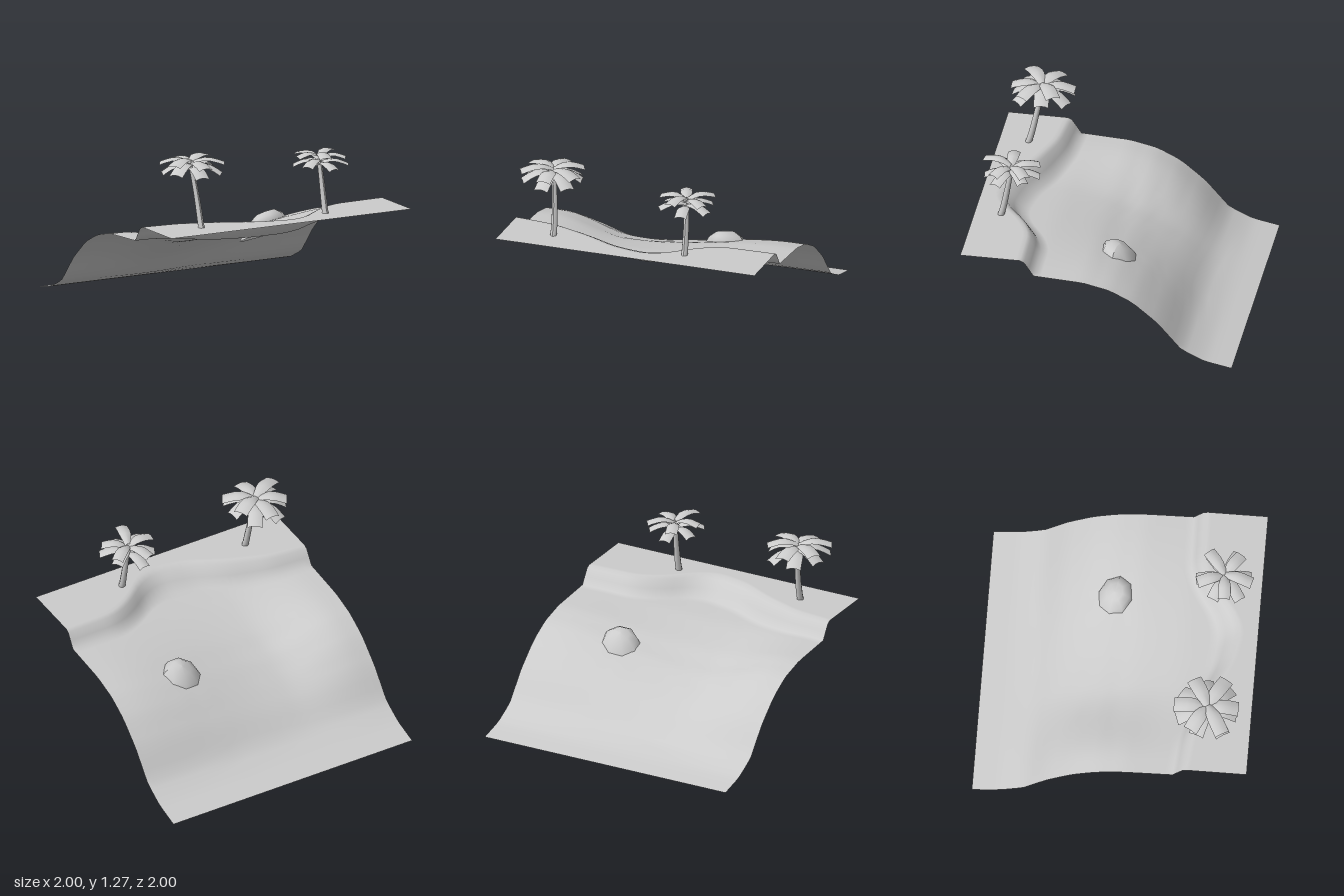
import * as THREE from 'three';

const mat = new THREE.MeshStandardMaterial({ color: 0xcccccc, side: THREE.DoubleSide });

// piecewise linear lookup through [position, value] pairs
function along(pairs, t) {
  let i = 1;
  while (i < pairs.length - 1 && pairs[i][0] < t) i++;
  const [a, va] = pairs[i - 1], [b, vb] = pairs[i];
  return va + (vb - va) * THREE.MathUtils.clamp((t - a) / (b - a), 0, 1);
}

// sheet of nu by nv quads, point(u, v) returns [x, y, z]
function sheet(name, nu, nv, point) {
  const pos = [], idx = [];
  for (let j = 0; j <= nv; j++) for (let i = 0; i <= nu; i++) pos.push(...point(i / nu, j / nv));
  for (let j = 0; j < nv; j++) for (let i = 0; i < nu; i++) {
    const a = j * (nu + 1) + i, c = a + nu + 1;
    idx.push(a, a + 1, c, a + 1, c + 1, c);
  }
  const geo = new THREE.BufferGeometry();
  geo.setAttribute('position', new THREE.Float32BufferAttribute(pos, 3));
  geo.setIndex(idx);
  geo.computeVertexNormals();
  const mesh = new THREE.Mesh(geo, mat);
  mesh.name = name;
  return mesh;
}

// ground: winding ledge line, ridge height along z, depth of the central hollow
const ledge = [[-1, 0.56], [-0.7, 0.59], [-0.4, 0.7], [-0.15, 0.83], [0.1, 0.88], [0.25, 0.82], [0.42, 0.66], [0.6, 0.57], [1, 0.56]];
const ridge = [[-1, 0], [-0.8, 0.04], [-0.63, 0.12], [-0.45, 0.33], [-0.27, 0.48], [-0.1, 0.565], [0.1, 0.61], [0.46, 0.63], [0.75, 0.635]];
const hollow = [[-0.8, 0], [-0.63, 0.02], [-0.45, 0.08], [-0.25, 0.13], [0, 0.13], [0.2, 0.09], [0.45, 0.05], [0.7, 0.03]];
const smooth = THREE.MathUtils.smoothstep;
const middle = x => smooth(x, -0.9, -0.3) * (1 - smooth(x, -0.3, 0.9));
const ledgeZ = x => (along(ledge, x - 0.06) + along(ledge, x) + along(ledge, x + 0.06)) / 3;
const footZ = x => 0.46 + (ledgeZ(x) - 0.56) * 0.8;
const slopeY = (x, z) => along(ridge, z) - along(hollow, z) * middle(x);

// flat terrace, rounded bank, then a long slope running down to the back
function terrain() {
  const bank = [[0, 0], [0.3, 0.12], [0.65, 0.55], [1, 1]], rows = 32;
  return sheet('terrain', 40, rows, (u, v) => {
    const x = u * 2 - 1, top = ledgeZ(x), foot = footZ(x), row = Math.round(v * rows);
    if (row < 2) return [x, 0.75, row ? top + 0.03 : 1];
    if (row < 6) {
      const [s, d] = bank[row - 2];
      return [x, 0.75 + (slopeY(x, foot) - 0.75) * d, top + (foot - top) * s];
    }
    const z = foot + (-1 - foot) * (row - 5) / (rows - 5);
    return [x, slopeY(x, z), z];
  });
}

// open, eight-sided boulder shell sunk through the slope, rim tilted with it
function boulder() {
  const rings = [[0, 0.595], [0.07, 0.585], [0.125, 0.545], [0.16, 0.49], [0.21, 0.425]];
  return sheet('boulder', 8, 4, (u, v) => {
    const [r, y] = rings[Math.round(v * 4)], a = u * Math.PI * 2 + 0.25;
    const dx = Math.cos(a) * r, dz = Math.sin(a) * Math.min(r * 0.9, 0.135);
    return [0.39 + dx, y + dz * 0.45 + dx * 0.15, -0.07 + dz];
  });
}

// broad drooping frond, arched across its width
function frond(angle, length, width, rise, droop) {
  const leaf = sheet('frond', 4, 5, (u, v) => {
    const w = width * (0.5 + 0.5 * Math.min(1, v * 2.2)), s = u * 2 - 1;
    return [s * w / 2, rise * Math.sin(Math.min(1, v * 1.6) * Math.PI / 2) - droop * v * v - 0.014 * s * s, -length * v];
  });
  leaf.rotation.y = angle;
  return leaf;
}

// bent trunk carrying tiers of fronds
function palm(name, base, top, tiers) {
  const g = new THREE.Group();
  g.name = name;
  const h = top[1] - base[1];
  const geo = new THREE.CylinderGeometry(0.018, 0.025, h, 8, 8, true).translate(0, h / 2, 0);
  const p = geo.attributes.position;
  for (let i = 0; i < p.count; i++) {
    const t = THREE.MathUtils.clamp(p.getY(i) / h, 0, 1), bend = Math.pow(t, 0.8);
    p.setXYZ(i, p.getX(i) + base[0] + (top[0] - base[0]) * t * t, base[1] + t * h,
      p.getZ(i) + base[2] + (top[2] - base[2]) * bend);
  }
  geo.computeVertexNormals();
  const trunk = new THREE.Mesh(geo, mat);
  trunk.name = 'trunk';
  g.add(trunk);
  const crown = new THREE.Group();
  crown.name = 'crown';
  crown.position.set(...top);
  for (const { count, turn, y, length, width, rise, droop } of tiers) {
    for (let i = 0; i < count; i++) {
      const leaf = frond(turn + i / count * Math.PI * 2, length * (1 - 0.08 * (i % 2)), width, rise, droop);
      leaf.position.y = y + 0.012 * (i % 3);
      crown.add(leaf);
    }
  }
  g.add(crown);
  return g;
}

export function createModel() {
  const model = new THREE.Group();
  model.name = 'beachLandscape';
  model.add(terrain(), boulder());
  model.add(palm('tallPalm', [-0.63, 0.735, 0.79], [-0.665, 1.2, 0.69], [
    { count: 7, turn: 0.35, y: -0.02, length: 0.235, width: 0.11, rise: 0.045, droop: 0.08 },
    { count: 6, turn: 0, y: 0.015, length: 0.245, width: 0.11, rise: 0.045, droop: 0.045 },
  ]));
  model.add(palm('shortPalm', [0.39, 0.74, 0.81], [0.38, 1.13, 0.735], [
    { count: 6, turn: 0.1, y: -0.025, length: 0.21, width: 0.09, rise: 0.04, droop: 0.05 },
    { count: 5, turn: 0.35, y: 0.02, length: 0.21, width: 0.09, rise: 0.05, droop: 0.035 },
  ]));
  return model;
}
